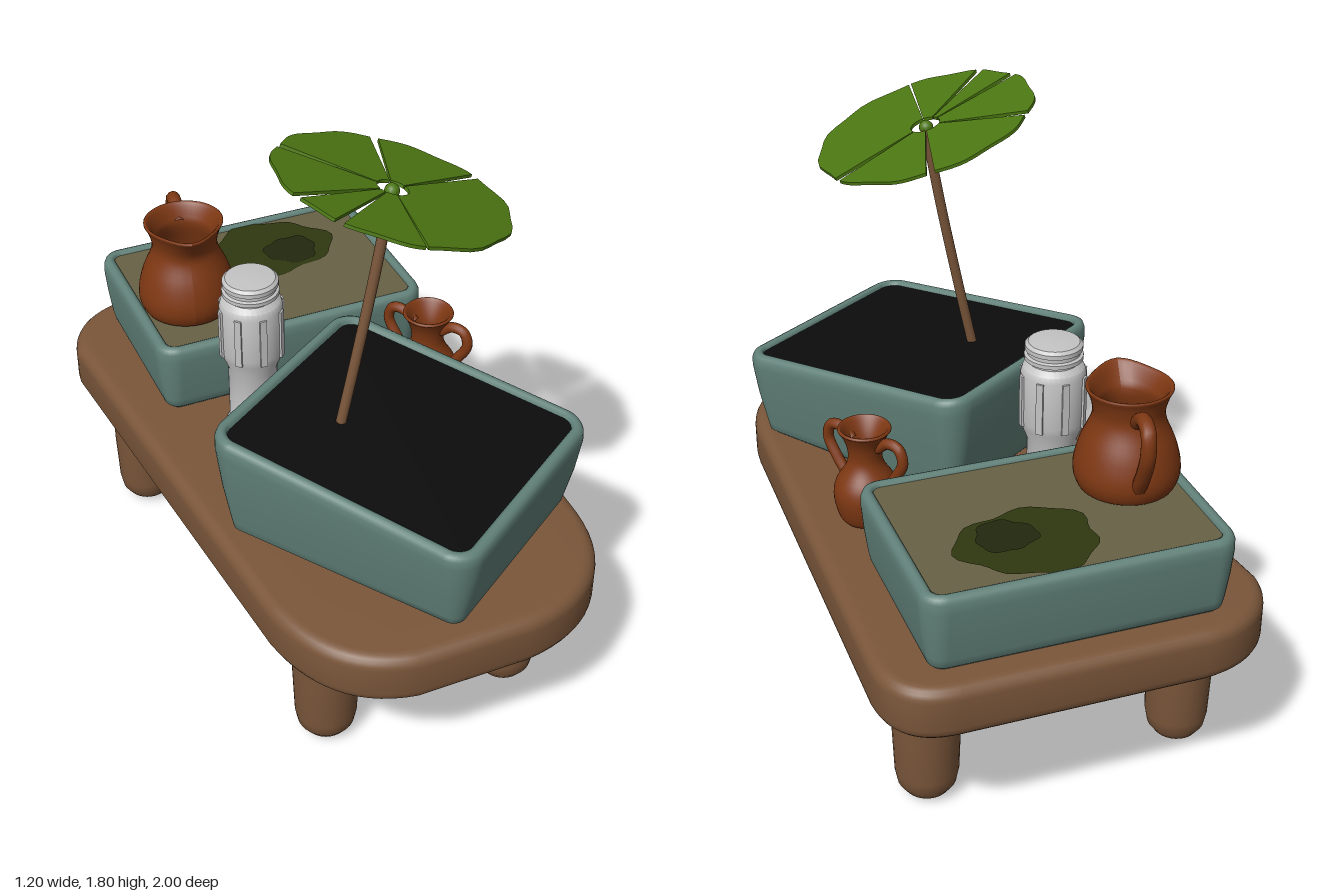
import * as THREE from 'three';
import { toCreasedNormals } from 'three/addons/utils/BufferGeometryUtils.js';

const V = (x, y, z) => new THREE.Vector3(x, y, z);
const mat = (name, color, side = THREE.FrontSide) => {
  const m = new THREE.MeshStandardMaterial({ color, side });
  m.name = name;
  return m;
};

export function createModel() {
  const wood = mat('wood', 0x7a563a);
  const glaze = mat('blue green glaze', 0x62827a);
  const clay = mat('terracotta', 0x7e3813, THREE.DoubleSide);
  const soil = mat('dark soil', 0x0c0c0c);
  const sand = mat('olive sand', 0x686146);
  const moss = mat('moss', 0x2e3810);
  const darkMoss = mat('dark moss', 0x23290f);
  const leafGreen = mat('leaf green', 0x4c7812, THREE.DoubleSide);
  const white = mat('pale grey', 0xc4c4c4);

  const model = new THREE.Group();
  const add = (name, geometry, material, parent = model) => {
    const mesh = new THREE.Mesh(geometry, material);
    mesh.name = name;
    parent.add(mesh);
    return mesh;
  };
  const group = (name, x, y, z, turn = 0) => {
    const g = new THREE.Group();
    g.name = name;
    g.position.set(x, y, z);
    g.rotation.y = turn;
    model.add(g);
    return g;
  };
  const warp = (geometry, rule) => {
    const p = geometry.attributes.position, v = V(0, 0, 0);
    for (let i = 0; i < p.count; i++) {
      rule(v.fromBufferAttribute(p, i));
      p.setXYZ(i, v.x, v.y, v.z);
    }
    geometry.computeVertexNormals();
    return geometry;
  };
  const lathe = (pts, sides = 32) =>
    new THREE.LatheGeometry(pts.map(([r, y]) => new THREE.Vector2(r, y)), sides);
  const smoothLathe = (pts, sides = 40) => new THREE.LatheGeometry(
    new THREE.SplineCurve(pts.map(([r, y]) => new THREE.Vector2(r, y))).getPoints(48), sides);
  const tube = (pts, r) => new THREE.TubeGeometry(
    new THREE.CatmullRomCurve3(pts.map(p => V(...p))), 28, r, 12);

  // Table top: rounded slab, narrower at the front, slightly tilted
  const s = new THREE.Shape();
  s.moveTo(-0.15, -1);
  s.lineTo(0.2, -1);
  s.bezierCurveTo(0.42, -0.98, 0.56, -0.85, 0.57, -0.62);
  s.lineTo(0.6, 0.8);
  s.quadraticCurveTo(0.59, 1, 0.4, 1);
  s.lineTo(-0.33, 1);
  s.bezierCurveTo(-0.5, 0.99, -0.59, 0.88, -0.6, 0.76);
  s.lineTo(-0.465, -0.65);
  s.bezierCurveTo(-0.43, -0.85, -0.33, -0.97, -0.15, -1);
  const slab = new THREE.ExtrudeGeometry(s, {
    depth: 0.09, bevelThickness: 0.04, bevelSize: 0.04, bevelOffset: -0.04, bevelSegments: 5, curveSegments: 14,
  }).rotateX(-Math.PI / 2).translate(0, 0.474, 0);
  add('tableTop', toCreasedNormals(warp(slab, v => { v.y -= 0.012 * v.z; }), 0.6), wood);

  // Four stubby legs with rounded feet
  for (const [x, z] of [[-0.275, 0.625], [0.34, 0.625], [-0.415, -0.66], [0.395, -0.66]]) {
    add('leg', lathe([[0, 0.002], [0.04, 0.005], [0.068, 0.02], [0.088, 0.048], [0.096, 0.09], [0.102, 0.25], [0.105, 0.47]]), wood)
      .position.set(x, 0, z);
  }

  // Rounded rectangle outline as [x, z] points
  const outline = (w, d, r) => {
    const pts = [];
    for (let c = 0; c < 4; c++) {
      const sx = c === 0 || c === 3 ? 1 : -1, sz = c < 2 ? 1 : -1;
      for (let i = 0; i <= 8; i++) {
        const a = (c + i / 8) * Math.PI / 2;
        pts.push([sx * (w - r) + r * Math.cos(a), sz * (d - r) + r * Math.sin(a)]);
      }
    }
    return pts;
  };
  // Planter wall: outline swept through a profile of [inset, height]
  const tray = (w, d, r, profile) => {
    const pos = [], index = [], n = 36;
    profile.forEach(([inset, y]) => outline(w - inset, d - inset, Math.max(r - inset, 0.025))
      .forEach(([x, z]) => pos.push(x, y, z)));
    for (let k = 0; k < profile.length - 1; k++) {
      for (let i = 0; i < n; i++) {
        const a = k * n + i, b = k * n + (i + 1) % n;
        index.push(a, a + n, b, b, a + n, b + n);
      }
    }
    const g = new THREE.BufferGeometry();
    g.setAttribute('position', new THREE.Float32BufferAttribute(pos, 3));
    g.setIndex(index);
    g.computeVertexNormals();
    return g;
  };
  const flat = (pts, y) => new THREE.ShapeGeometry(
    new THREE.Shape(pts.map(([x, z]) => new THREE.Vector2(x, -z)))).rotateX(-Math.PI / 2).translate(0, y, 0);
  const wall = (h, taper) => [
    [taper + 0.06, 0], [taper + 0.025, 0.004], [taper + 0.006, 0.022], [taper, 0.05], [taper * 0.4, h * 0.5],
    [0, h - 0.05], [0.001, h - 0.02], [0.007, h - 0.006], [0.018, h], [0.028, h - 0.001], [0.037, h - 0.007], [0.041, h - 0.03],
  ];

  // Front planter, turned, with its rim sloping down toward the front
  const front = group('frontPlanter', 0.05, 0.595, 0.435, 0.594);
  const slope = v => { v.y -= 0.095 * v.z * v.y / 0.345; };
  add('frontPlanterWall', warp(tray(0.385, 0.44, 0.085, wall(0.345, 0.04)), slope), glaze, front);
  add('frontPlanterSoil', warp(flat(outline(0.347, 0.402, 0.045), 0.33), slope), soil, front);

  // Back planter with sand and a moss patch
  const back = group('backPlanter', 0.015, 0.605, -0.605);
  add('backPlanterWall', tray(0.465, 0.33, 0.07, wall(0.26, 0.018)), glaze, back);
  add('sand', flat(outline(0.427, 0.292, 0.03), 0.249), sand, back);
  const blob = (rx, rz, k) => Array.from({ length: 40 }, (_, i) => {
    const a = i / 40 * Math.PI * 2;
    const r = 1 + 0.07 * Math.sin(3 * a + k) + 0.05 * Math.sin(7 * a + 2 * k);
    return [rx * r * Math.cos(a), rz * r * Math.sin(a)];
  });
  add('mossPatch', flat(blob(0.205, 0.165, 1), 0.253), moss, back).position.set(0.095, 0, -0.125);
  add('mossCentre', flat(blob(0.09, 0.08, 4), 0.257), darkMoss, back).position.set(0.15, 0, -0.085);

  // Large pitcher: lip pulled out into a spout at local +z, handle behind
  const pitcher = group('pitcher', -0.27, 0.85, -0.53, -0.17);
  const body = smoothLathe([
    [0, 0], [0.12, 0.003], [0.15, 0.03], [0.157, 0.08], [0.14, 0.15], [0.112, 0.215], [0.104, 0.255], [0.112, 0.3],
    [0.122, 0.325], [0.112, 0.326], [0.094, 0.29], [0.088, 0.25], [0.12, 0.14], [0.11, 0.04], [0, 0.03]]);
  add('pitcherBody', warp(body, v => {
    const r = Math.hypot(v.x, v.z);
    const up = THREE.MathUtils.smoothstep(v.y, 0.22, 0.33);
    const c = r > 0.001 ? Math.max(0, v.z / r) ** 5 : 0;
    v.z *= 1 + 0.32 * up * c;
    v.x *= 1 + 0.05 * up;
    v.y += 0.006 * up * c;
  }), clay, pitcher);
  add('pitcherHandle', tube([[0, 0.26, -0.095], [0, 0.298, -0.16], [0, 0.285, -0.212], [0, 0.22, -0.22],
    [0, 0.13, -0.18], [0, 0.07, -0.14]], 0.023), clay, pitcher);

  // Small two-handled jug
  const jug = group('smallJug', 0.39, 0.605, -0.08, 0.58);
  add('jugBody', smoothLathe([
    [0, 0], [0.06, 0.002], [0.085, 0.025], [0.1, 0.09], [0.092, 0.14], [0.062, 0.19], [0.052, 0.225], [0.058, 0.27],
    [0.075, 0.308], [0.082, 0.318], [0.072, 0.322], [0.045, 0.27], [0.038, 0.22], [0.06, 0.13], [0, 0.05]]), clay, jug);
  for (const side of [-1, 1]) {
    add('jugHandle', tube([[0, 0.265, 0.05], [0, 0.295, 0.09], [0, 0.29, 0.132], [0, 0.245, 0.147],
      [0, 0.185, 0.115], [0, 0.145, 0.085]].map(([x, y, z]) => [x, y, side * z]), 0.017), clay, jug);
  }

  // Pale jar with narrow foot, ribbed upper body and ringed lid
  const jar = group('jar', -0.185, 0.605, -0.165);
  add('jarBody', toCreasedNormals(lathe([
    [0, 0], [0.085, 0], [0.088, 0.01], [0.078, 0.03], [0.078, 0.23], [0.096, 0.275], [0.1, 0.3], [0.1, 0.455], [0.094, 0.475],
    [0.076, 0.49], [0.076, 0.5], [0.09, 0.502], [0.09, 0.515], [0.081, 0.519], [0.081, 0.53], [0.088, 0.533],
    [0.088, 0.547], [0.078, 0.556], [0.03, 0.56], [0, 0.56]], 36), 0.6), white, jar);
  for (let i = 0; i < 8; i++) {
    const a = i / 8 * Math.PI * 2;
    const rib = add('jarRib', new THREE.BoxGeometry(0.022, 0.17, 0.014), white, jar);
    rib.position.set(0.099 * Math.sin(a), 0.37, 0.099 * Math.cos(a));
    rib.rotation.y = a;
  }

  // Leaning stem
  add('stem', tube([[-0.11, 0.9, 0.34], [-0.06, 1.13, 0.338], [0, 1.42, 0.334], [0.05, 1.69, 0.33]], 0.016), wood);

  // Round tilted leaf, cut by radial slits and open around the stem
  const leaf = group('leaf', 0.045, 1.69, 0.34);
  leaf.rotation.z = -0.304;
  const slits = [100, 140, 165, 220, 286, 341, 460];
  for (let k = 0; k < slits.length - 1; k++) {
    const gap = 2.2, a0 = slits[k] + (k === 0 ? 0.6 : gap), a1 = slits[k + 1] - (k === 5 ? 0.6 : gap);
    const arc = (r, wave) => Array.from({ length: 17 }, (_, i) => {
      const a = (a0 + (a1 - a0) * i / 16) * Math.PI / 180;
      const q = r * (1 + wave * Math.sin(11 * a));
      return new THREE.Vector2(q * 1.03 * Math.cos(a), -q * Math.sin(a));
    });
    const g = new THREE.ExtrudeGeometry(new THREE.Shape([...arc(0.333, 0.015), ...arc(0.045, 0).reverse()]),
      { depth: 0.01, bevelEnabled: false }).rotateX(-Math.PI / 2);
    add('leafSegment', g, leafGreen, leaf);
  }
  add('leafHub', new THREE.SphereGeometry(0.022, 16, 10), leafGreen, leaf);

  return model;
}
